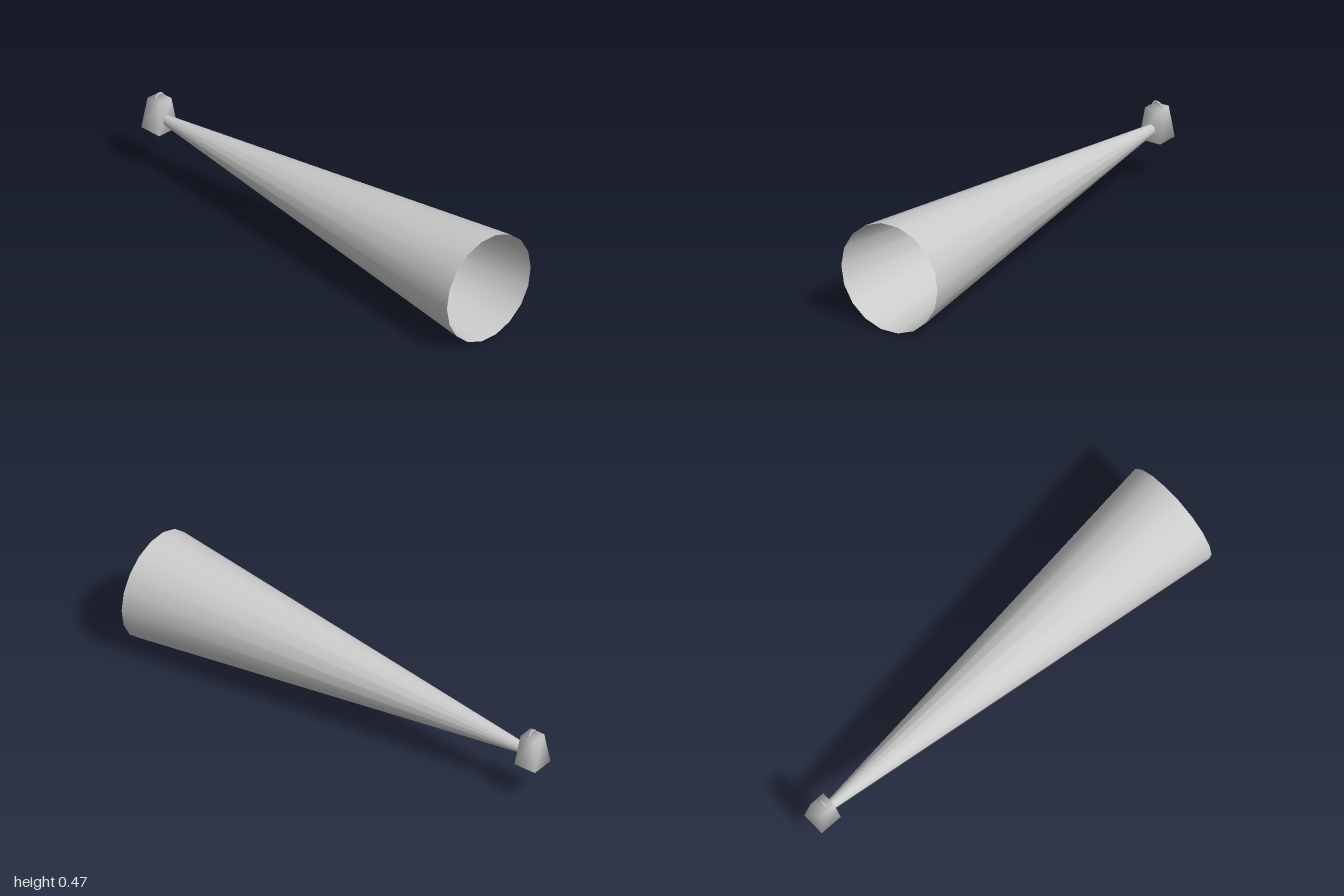
import * as THREE from 'three';
import { mergeVertices } from 'three/addons/utils/BufferGeometryUtils.js';

const AXIS_Y = 0.238; // height of the beam axis
const LAMP_Z = -0.947;

export function createModel() {
  const model = new THREE.Group();
  const grey = new THREE.MeshStandardMaterial({ color: 0xcccccc });
  const thin = new THREE.MeshStandardMaterial({ color: 0xcccccc, side: THREE.DoubleSide });

  const add = (name, geometry, material, x, y, z) => {
    const mesh = new THREE.Mesh(geometry, material);
    mesh.name = name;
    mesh.position.set(x, y, z);
    model.add(mesh);
    return mesh;
  };

  // Light beam: open 18-sided cone widening towards the front
  const back = -0.908;
  const cone = new THREE.CylinderGeometry(0.241, 0.0215, 1 - back, 18, 1, true);
  cone.rotateY(Math.PI / 2); // puts corners on the x axis
  cone.rotateX(Math.PI / 2); // wide end to +z
  add('lightBeam', cone, thin, 0, AXIS_Y, (1 + back) / 2);

  // Lantern body: tapered box with softly shaded corners
  let body = new THREE.BoxGeometry(1, 1, 1);
  const p = body.attributes.position;
  for (let i = 0; i < p.count; i++) {
    const half = p.getY(i) > 0 ? 0.035 : 0.053;
    p.setXYZ(i, Math.sign(p.getX(i)) * half, p.getY(i) * 0.14, Math.sign(p.getZ(i)) * half);
  }
  body.deleteAttribute('normal');
  body.deleteAttribute('uv');
  body = mergeVertices(body);
  body.computeVertexNormals();
  add('lanternBody', body, grey, 0, 0.256, LAMP_Z);

  // Carrying handle: small arch across the top
  const handle = new THREE.TorusGeometry(0.022, 0.004, 6, 12, Math.PI);
  add('handle', handle, grey, 0, 0.326, LAMP_Z);

  return model;
}
